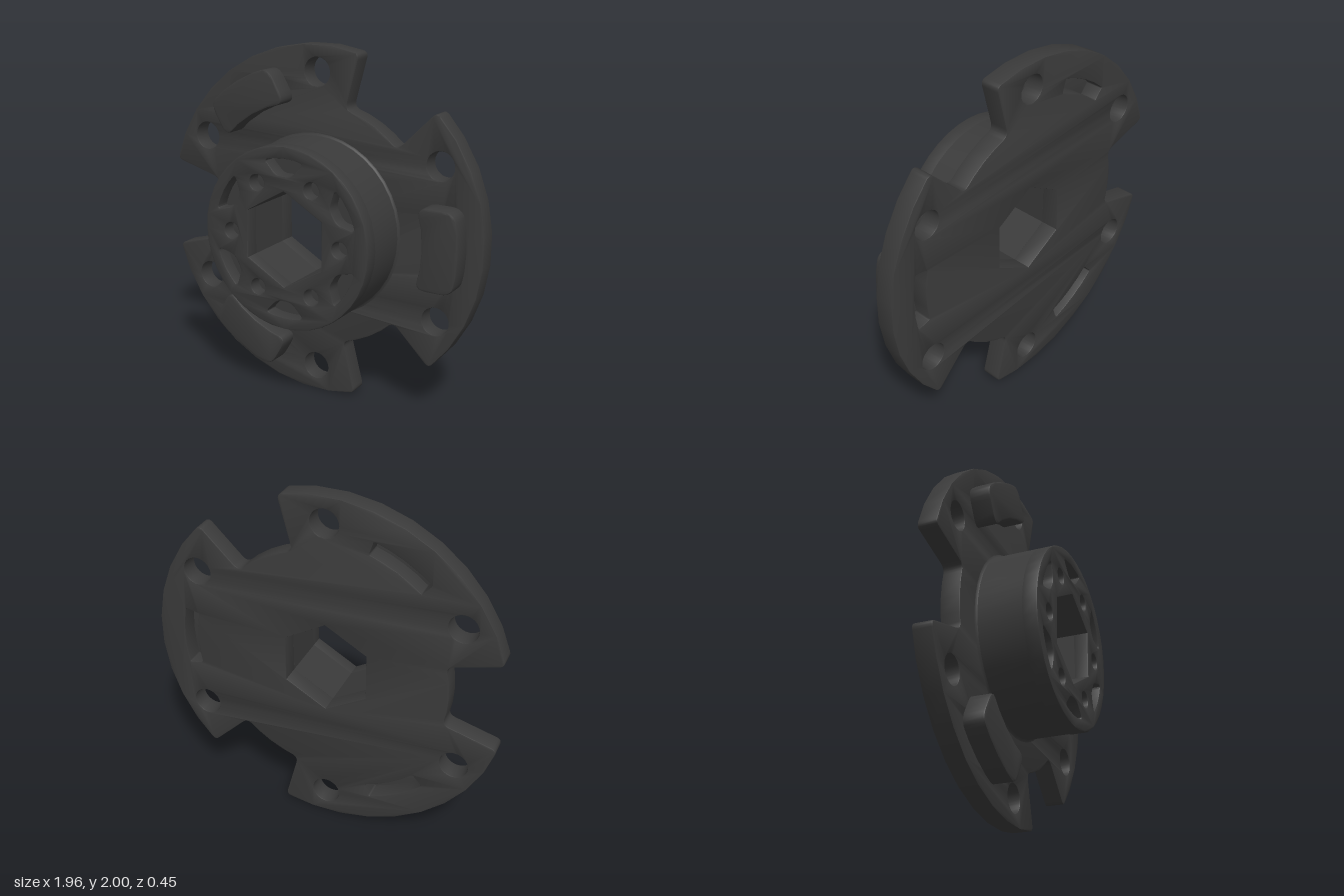
import * as THREE from 'three';
import { toCreasedNormals } from 'three/addons/utils/BufferGeometryUtils.js';

const DEG = Math.PI / 180;
const polar = (r, deg, corner = 0) => [r * Math.cos(deg * DEG), r * Math.sin(deg * DEG), corner];

// Points along an arc; the two end points carry a corner radius
function arc(r, from, to, segments, corner = 0) {
  return Array.from({ length: segments + 1 }, (_, i) =>
    polar(r, from + (to - from) * i / segments, i === 0 || i === segments ? corner : 0));
}

// Turn [x, y, corner] points into an outline with rounded corners
function outline(points) {
  const out = [];
  points.forEach(([x, y, corner], i) => {
    const p = new THREE.Vector2(x, y);
    if (!corner) { out.push(p); return; }
    const toward = q => {
      const d = new THREE.Vector2(q[0], q[1]).sub(p);
      return p.clone().addScaledVector(d, Math.min(corner / d.length(), 0.48));
    };
    const a = toward(points[(i + points.length - 1) % points.length]);
    const b = toward(points[(i + 1) % points.length]);
    out.push(...new THREE.QuadraticBezierCurve(a, p, b).getPoints(5));
  });
  return out;
}

const rotate = (points, deg) => points.map(p =>
  p.clone().rotateAround(new THREE.Vector2(), deg * DEG));

function circle(r, segments, distance = 0, deg = 0) {
  const [cx, cy] = polar(distance, deg);
  return Array.from({ length: segments }, (_, i) => {
    const [x, y] = polar(r, 360 * i / segments);
    return new THREE.Vector2(cx + x, cy + y);
  });
}

// Plate between two depths, edges softened by the bevel
function plate(points, holes, z0, z1, bevel) {
  const shape = new THREE.Shape(points);
  shape.holes = holes.map(h => new THREE.Path(h));
  const geometry = new THREE.ExtrudeGeometry(shape, {
    depth: z1 - z0 - 2 * bevel, bevelEnabled: bevel > 0, bevelSize: bevel,
    bevelThickness: bevel, bevelOffset: -bevel, bevelSegments: 2, curveSegments: 1,
  });
  geometry.translate(0, 0, z0 + bevel);
  return toCreasedNormals(geometry, 35 * DEG);
}

export function createModel() {
  const model = new THREE.Group();
  const black = new THREE.MeshStandardMaterial({ color: 0x3a3a3a });
  black.name = 'matteBlack';
  const add = (name, geometry) => {
    const mesh = new THREE.Mesh(geometry, black);
    mesh.name = name;
    mesh.position.set(-0.025, 1, 0);
    model.add(mesh);
    return mesh;
  };

  const hex = Array.from({ length: 6 }, (_, i) => {
    const [x, y] = polar(0.268, 30 + 60 * i);
    return new THREE.Vector2(x, y);
  });

  // Flange with three lobes, separated by notches
  const rim = [], flangeHoles = [hex];
  const slot = outline([...arc(0.77, -12, 12, 4, 0.01), ...arc(0.85, 12, -12, 4, 0.01)]);
  for (let i = 0; i < 3; i++) {
    const a = 120 * i;
    rim.push(...arc(1.002, a - 44.8, a + 44.8, 9, 0.035));
    rim.push(...arc(0.69, a + 44.8, a + 75.2, 4, 0.04));
    flangeHoles.push(rotate(slot, a));
    for (const s of [-30, 30]) flangeHoles.push(circle(0.079, 28, 0.855, a + s));
  }
  add('flange', plate(outline(rim), flangeHoles, -0.225, -0.115, 0.006));

  // Raised pads, one on each lobe
  const padHalf = 0.225;
  const edgeAngle = r => Math.asin(padHalf / r) / DEG;
  const a0 = edgeAngle(0.7), a1 = edgeAngle(0.905);
  const padShape = outline([
    ...arc(0.905, -a1, a1, 4, 0.07), ...arc(0.7, a0, -a0, 4, 0.07),
  ]);
  for (let i = 0; i < 3; i++) {
    add('pad' + (i + 1), plate(padShape, [], -0.125, 0, 0.01)).rotation.z = 120 * i * DEG;
  }

  // Hub body; its top forms the pocket floors
  const hubRound = circle(0.51, 40);
  add('hubBody', plate(hubRound, [hex], -0.12, 0.145, 0));

  // Hub face with alternating round and wedge pockets
  const wedge = outline([
    ...arc(0.445, -15.5, 15.5, 4, 0.025), [0.35, 0.045, 0.03], [0.35, -0.045, 0.03],
  ]);
  const pockets = [hex];
  for (let i = 0; i < 6; i++) {
    pockets.push(circle(0.046, 20, 0.34, 60 * i));
    pockets.push(rotate(wedge, 60 * i + 30));
  }
  add('hubFace', plate(hubRound, pockets, 0.135, 0.225, 0.008));

  // Small fillet where the hub meets the flange
  const fillet = new THREE.LatheGeometry([
    new THREE.Vector2(0.526, -0.116), new THREE.Vector2(0.513, -0.112), new THREE.Vector2(0.508, -0.1),
  ], 40);
  fillet.rotateX(Math.PI / 2);
  add('hubFillet', fillet);

  return model;
}
